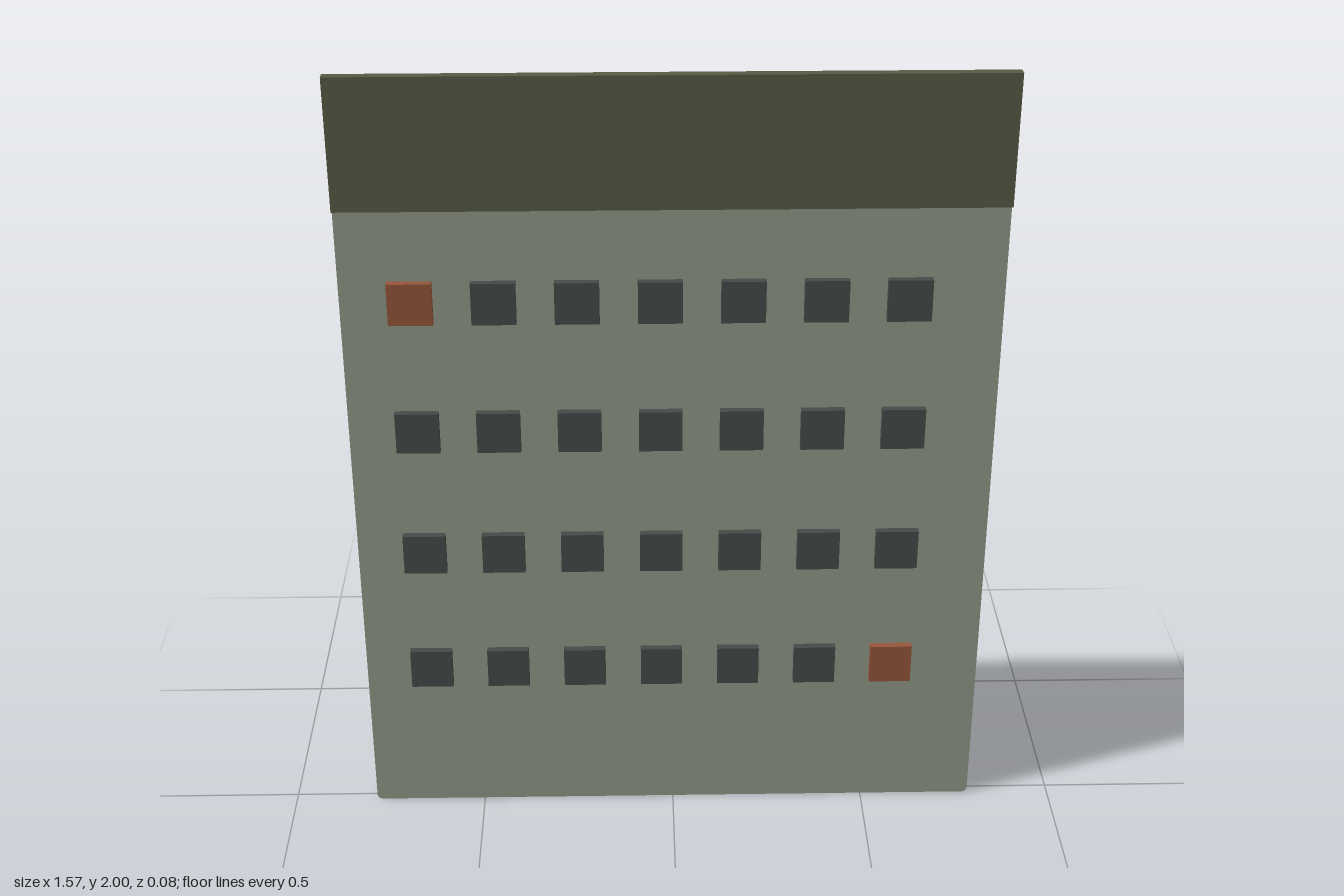
import * as THREE from 'three';

const material = (color) => new THREE.MeshStandardMaterial({ color, flatShading: true });

// Box given by its edges
function box(name, [x0, x1], [y0, y1], [z0, z1], mat) {
  const mesh = new THREE.Mesh(new THREE.BoxGeometry(x1 - x0, y1 - y0, z1 - z0), mat);
  mesh.position.set((x0 + x1) / 2, (y0 + y1) / 2, (z0 + z1) / 2);
  mesh.name = name;
  return mesh;
}

// Upright rectangle with small rounded corners
function roundedRect(halfWidth, height, r) {
  const shape = new THREE.Shape();
  const w = halfWidth - r, top = height - r;
  shape.absarc(w, r, r, -Math.PI / 2, 0);
  shape.absarc(w, top, r, 0, Math.PI / 2);
  shape.absarc(-w, top, r, Math.PI / 2, Math.PI);
  shape.absarc(-w, r, r, Math.PI, Math.PI * 1.5);
  shape.closePath();
  return shape;
}

export function createModel() {
  const model = new THREE.Group();
  model.name = 'wallCalendar';

  const boardMat = material(0x929a88);
  const headerMat = material(0x585c45);
  const dayMat = material(0x454b4a);
  const markedMat = material(0x96563a);

  // Backing board
  const board = new THREE.Mesh(
    new THREE.ExtrudeGeometry(roundedRect(0.786, 1.968, 0.014), {
      depth: 0.065, bevelEnabled: false, curveSegments: 3,
    }),
    boardMat,
  );
  board.position.z = -0.042;
  board.name = 'board';
  model.add(board);

  // Header strip across the top, standing a little above the board
  model.add(box('header', [-0.786, 0.786], [1.678, 2], [0.018, 0.042], headerMat));

  // Grid of day tiles; the first and last are marked
  const days = new THREE.Group();
  days.name = 'dayTiles';
  const half = 0.053, rows = 4, columns = 7;
  for (let row = 0; row < rows; row++) {
    for (let col = 0; col < columns; col++) {
      const x = -0.619 + col * 0.1965;
      const y = 1.444 - row * 0.3405;
      const index = row * columns + col;
      const marked = index === 0 || index === rows * columns - 1;
      days.add(box(marked ? 'markedDayTile' : 'dayTile',
        [x - half, x + half], [y - half, y + half], [0.02, 0.042], marked ? markedMat : dayMat));
    }
  }
  model.add(days);

  return model;
}
